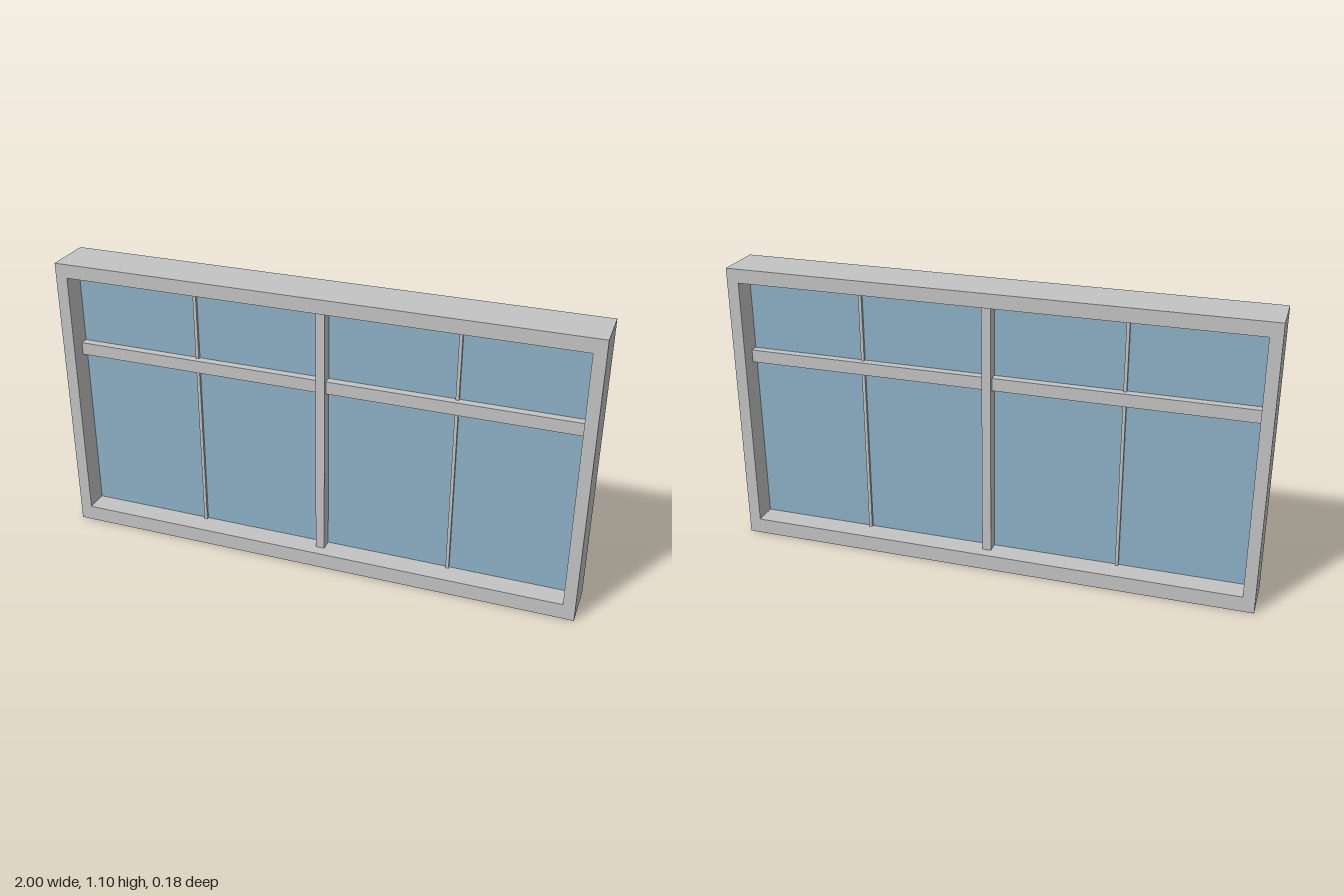
import * as THREE from 'three';

export function createModel() {
  const model = new THREE.Group();
  model.name = 'window';

  const frameGrey = new THREE.MeshStandardMaterial({ color: 0xc4c4c4 });
  frameGrey.name = 'frame grey';
  const glassBlue = new THREE.MeshStandardMaterial({ color: 0x8db2c8 });
  glassBlue.name = 'glass blue';

  const W = 1, H = 1.096, D = 0.184;              // half width, height, depth
  const inner = { x: 0.955, y0: 0.06, y1: 1.043 }; // frame opening

  // Box given by its x and y limits, centred in depth
  function slab(name, x0, x1, y0, y1, depth, material) {
    const mesh = new THREE.Mesh(new THREE.BoxGeometry(x1 - x0, y1 - y0, depth), material);
    mesh.position.set((x0 + x1) / 2, (y0 + y1) / 2, 0);
    mesh.name = name;
    model.add(mesh);
  }

  const rectangle = (path, x, y0, y1) =>
    path.moveTo(-x, y0).lineTo(x, y0).lineTo(x, y1).lineTo(-x, y1).closePath();

  // Outer frame with its opening
  const outline = new THREE.Shape();
  rectangle(outline, W, 0, H);
  const opening = new THREE.Path();
  rectangle(opening, inner.x, inner.y0, inner.y1);
  outline.holes.push(opening);
  const frameGeometry = new THREE.ExtrudeGeometry(outline, { depth: D, bevelEnabled: false });
  frameGeometry.translate(0, 0, -D / 2);
  const frame = new THREE.Mesh(frameGeometry, frameGrey);
  frame.name = 'outerFrame';
  model.add(frame);

  // Glass in the middle of the depth
  slab('glass', -inner.x, inner.x, inner.y0, inner.y1, 0.009, glassBlue);

  // Central mullion, slightly deeper than the crossbars
  const mullion = [0, 0.034];
  slab('mullion', ...mullion, inner.y0, inner.y1, 0.1, frameGrey);

  // Crossbars either side of the mullion
  const bar = [0.714, 0.762];
  slab('rightCrossbar', -inner.x, mullion[0], ...bar, 0.072, frameGrey);
  slab('leftCrossbar', mullion[1], inner.x, ...bar, 0.072, frameGrey);

  // Thin glazing bars above and below the crossbars
  for (const [side, x] of [['right', -0.48], ['left', 0.509]]) {
    slab(side + 'LowerGlazingBar', x - 0.006, x + 0.006, inner.y0, bar[0], 0.03, frameGrey);
    slab(side + 'UpperGlazingBar', x - 0.006, x + 0.006, bar[1], inner.y1, 0.03, frameGrey);
  }

  return model;
}
